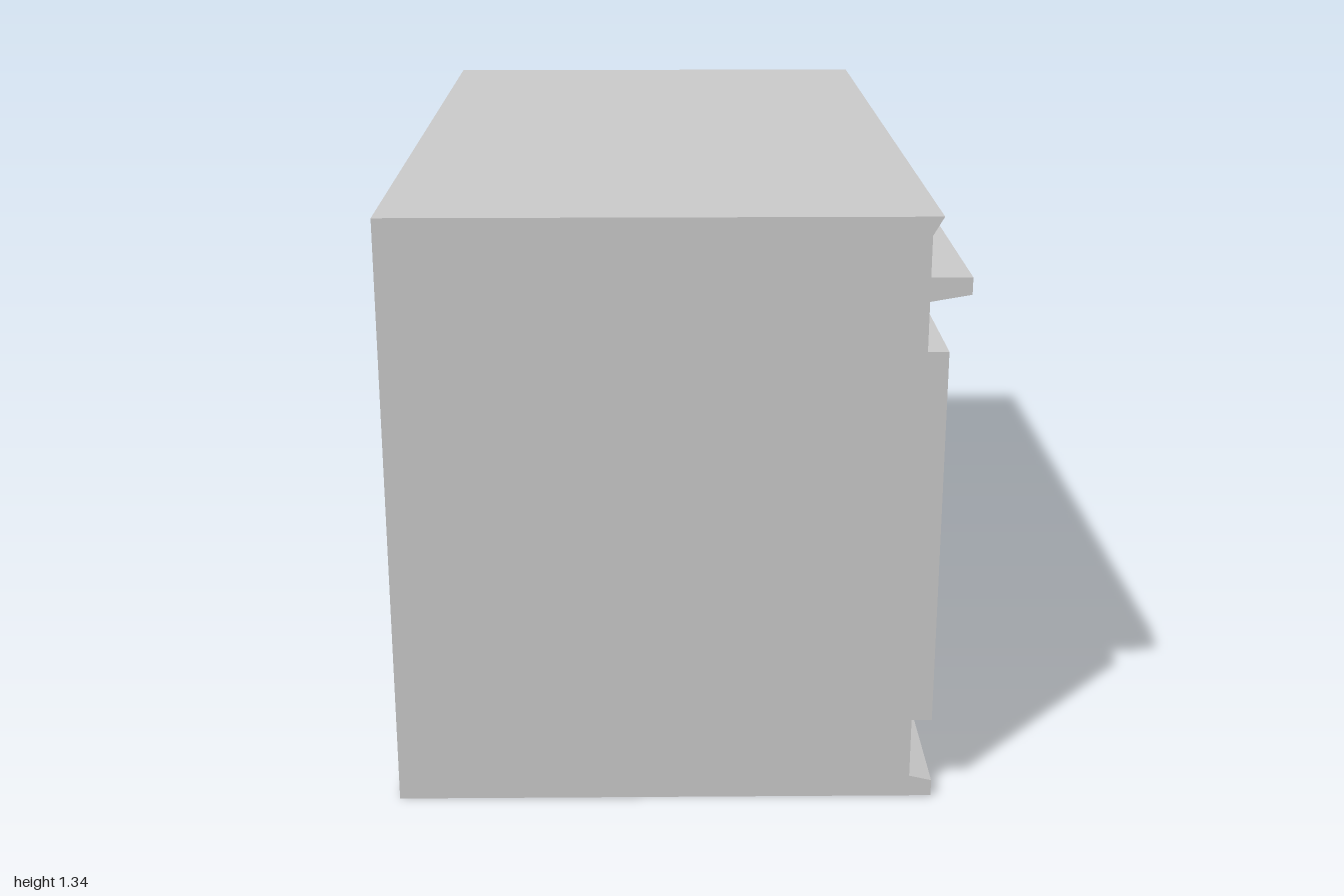
import * as THREE from 'three';

const BACK = -0.625, SEAT = 0.42, HEIGHT = 1.335;

// Cross-sections of the fascia (x outwards, y up)
const LOWER = [[0.57, 0], [0.57, 0.038], [0.52, 0.05], [0.52, 0.19]];
const PANEL = [[0.565, 0.19], [0.565, 1.047]];
const UPPER = [[0.52, 1.047], [0.52, 1.155], [0.607, 1.17], [0.607, 1.207],
  [0.52, 1.207], [0.52, 1.295], [0.543, HEIGHT]];
const SEAM = [[0.57, 0], [0.57, 0.012], [0.5, 0.012], [0.5, 1.323], [0.536, 1.323], [0.543, HEIGHT]];

export function createModel() {
  const model = new THREE.Group();
  const grey = new THREE.MeshStandardMaterial({ color: 0xcccccc });
  const thin = new THREE.MeshStandardMaterial({ color: 0xcccccc, side: THREE.DoubleSide });

  function add(name, geometry, x = 0, y = 0, z = 0, material = grey) {
    const mesh = new THREE.Mesh(geometry, material);
    mesh.name = name;
    mesh.position.set(x, y, z);
    model.add(mesh);
    return mesh;
  }

  // Sweeps a fascia cross-section from z0 to z1, closed against the cabinet
  function strip(name, profile, z0, z1) {
    const first = profile[0], last = profile[profile.length - 1];
    const points = [[SEAT, first[1]], ...profile, [SEAT, last[1]]];
    const shape = new THREE.Shape(points.map(([x, y]) => new THREE.Vector2(x, y)));
    add(name, new THREE.ExtrudeGeometry(shape, { depth: z1 - z0, bevelEnabled: false }), 0, 0, z0);
  }

  function rectangle(path, u0, y0, u1, y1) {
    return path.moveTo(u0, y0).lineTo(u1, y0).lineTo(u1, y1).lineTo(u0, y1).closePath();
  }

  // Cabinet; its front also forms the back of the window recess
  add('cabinet', new THREE.BoxGeometry(SEAT - BACK, HEIGHT, 2), (SEAT + BACK) / 2, HEIGHT / 2, 0);

  // Door side: trims above and below the window frame
  strip('doorLowerTrim', LOWER, -0.495, 1);
  strip('doorUpperTrim', UPPER, -0.495, 1);
  const frame = rectangle(new THREE.Shape(), -1, 0.19, 0.495, 1.047);
  frame.holes.push(rectangle(new THREE.Path(), -0.885, 0.26, 0.375, 0.987));
  const frameGeometry = new THREE.ExtrudeGeometry(frame, { depth: 0.565 - SEAT, bevelEnabled: false });
  frameGeometry.rotateY(Math.PI / 2);
  add('windowFrame', frameGeometry, SEAT);

  // Narrow sunken seam and the control side
  strip('seam', SEAM, -0.508, -0.495);
  strip('controlPanel', [...LOWER, ...PANEL, ...UPPER], -1, -0.508);

  // Two open ring knobs with a bar between them
  for (const [name, y] of [['lowerKnob', 0.458], ['upperKnob', 0.812]]) {
    const ring = new THREE.CylinderGeometry(0.11, 0.11, 0.06, 48, 1, true).rotateZ(-Math.PI / 2);
    add(name, ring, 0.593, y, -0.745, thin);
  }
  add('controlBar', new THREE.BoxGeometry(0.02, 0.042, 0.36), 0.568, 0.618, -0.75);

  return model;
}
